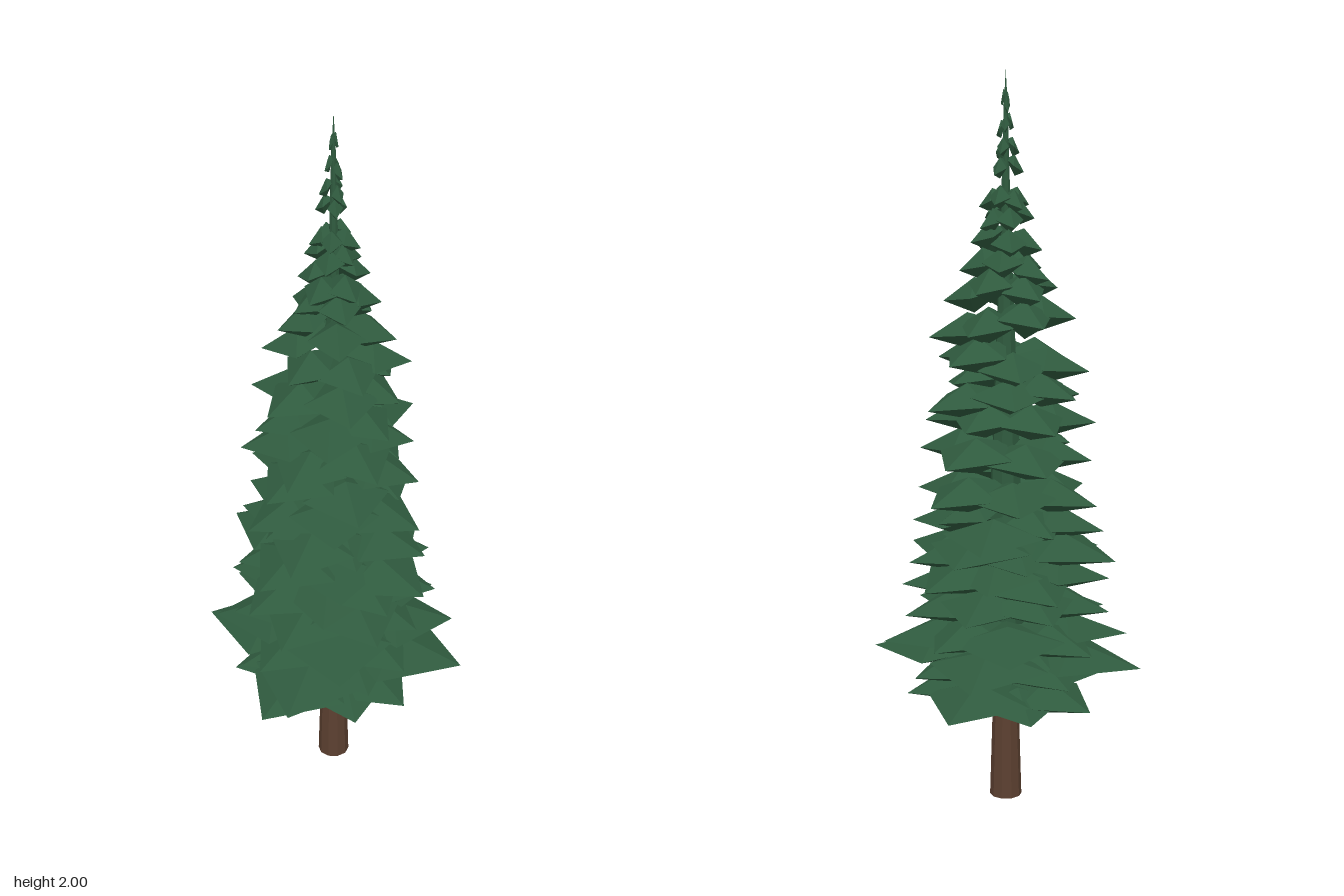
import * as THREE from 'three';
import { mergeGeometries } from 'three/addons/utils/BufferGeometryUtils.js';

// Reach of the longest branch tips at a given height: [y, radius]
const REACH = [[0.28, 0.33], [0.39, 0.38], [0.46, 0.36], [0.56, 0.33], [0.72, 0.335], [0.82, 0.265], [0.96, 0.265],
  [1.18, 0.23], [1.28, 0.215], [1.38, 0.175], [1.46, 0.13], [1.56, 0.1], [1.68, 0.06], [1.78, 0.038], [1.9, 0.016], [2, 0.005]];

function reachAt(y) {
  for (let i = 1; i < REACH.length; i++) {
    const [y0, r0] = REACH[i - 1], [y1, r1] = REACH[i];
    if (y <= y1) return r0 + (r1 - r0) * Math.max(0, (y - y0) / (y1 - y0));
  }
  return 0.005;
}

function seeded(seed) {
  return () => {
    seed = (seed * 16807) % 2147483647;
    return seed / 2147483647;
  };
}

// Drooping kite-shaped branch: a flattened octahedron sheared towards its tip
function branch(length, angle, tipY, droop, thick) {
  const g = new THREE.OctahedronGeometry(1, 0);
  const p = g.attributes.position;
  for (let i = 0; i < p.count; i++) {
    const t = (p.getX(i) + 1) / 2;
    p.setXYZ(i, t * length, tipY + droop * (1 - t) + p.getY(i) * thick, p.getZ(i) * length * 0.46);
  }
  g.rotateY(angle);
  g.computeVertexNormals();
  return g;
}

// Turned shape from [radius, height] pairs
function turned(profile, sides, material, name) {
  const points = profile.map(([r, y]) => new THREE.Vector2(r, y));
  const mesh = new THREE.Mesh(new THREE.LatheGeometry(points, sides), material);
  mesh.name = name;
  return mesh;
}

export function createModel() {
  const tree = new THREE.Group();
  tree.name = 'coniferTree';
  const bark = new THREE.MeshStandardMaterial({ color: 0x5c4030, flatShading: true });
  bark.name = 'barkBrown';
  const needles = new THREE.MeshStandardMaterial({ color: 0x2f5a3e, flatShading: true });
  needles.name = 'needleGreen';

  // Bare trunk, and the leafy core that carries on up to a slim spike
  tree.add(turned([[0, 0], [0.044, 0], [0.035, 0.3], [0.03, 0.5]], 10, bark, 'trunk'));
  tree.add(turned([[0.034, 0.28], [0.055, 0.34], [0.05, 0.7], [0.03, 1.2], [0.014, 1.6], [0.006, 1.9], [0, 2]],
    8, needles, 'crownCore'));

  // Tiers of branches, each turned 18 degrees from the one below
  const rand = seeded(4711);
  let y = 0.31;
  for (let tier = 0; y < 1.93; tier++) {
    const parts = [];
    const dense = y < 0.85;
    const count = dense ? 8 : y < 1.4 ? 6 : y < 1.7 ? 5 : 3;
    for (let k = 0; k < count; k++) {
      const short = dense && k % 2 === 1;
      const fixed = tier === 1 && !short;
      const wobble = fixed ? 0 : rand() - 0.5;
      const tipY = y + (rand() - 0.5) * (y < 1.4 ? 0.05 : 0.04);
      const angle = (k / count) * Math.PI * 2 + (tier - 1) * Math.PI / 10 + wobble * 0.3;
      // Branches reach a little further along the two main axes
      const spread = y < 0.85 ? 0.88 + 0.12 * Math.cos(2 * angle) ** 2 : 1;
      const reach = fixed ? (k % 4 === 0 ? 0.38 : 0.36) : reachAt(tipY) * spread;
      const length = reach * (short ? 0.88 : 1) * (1 + Math.min(0, wobble) * 0.25);
      const thick = Math.min(0.048, 0.018 + length * 0.2);
      parts.push(branch(length, angle, tipY, 0.035, thick));
    }
    const mesh = new THREE.Mesh(mergeGeometries(parts), needles);
    mesh.name = `branchTier${tier + 1}`;
    tree.add(mesh);
    y += dense ? 0.08 : y < 1.35 ? 0.09 : 0.062;
  }
  return tree;
}
